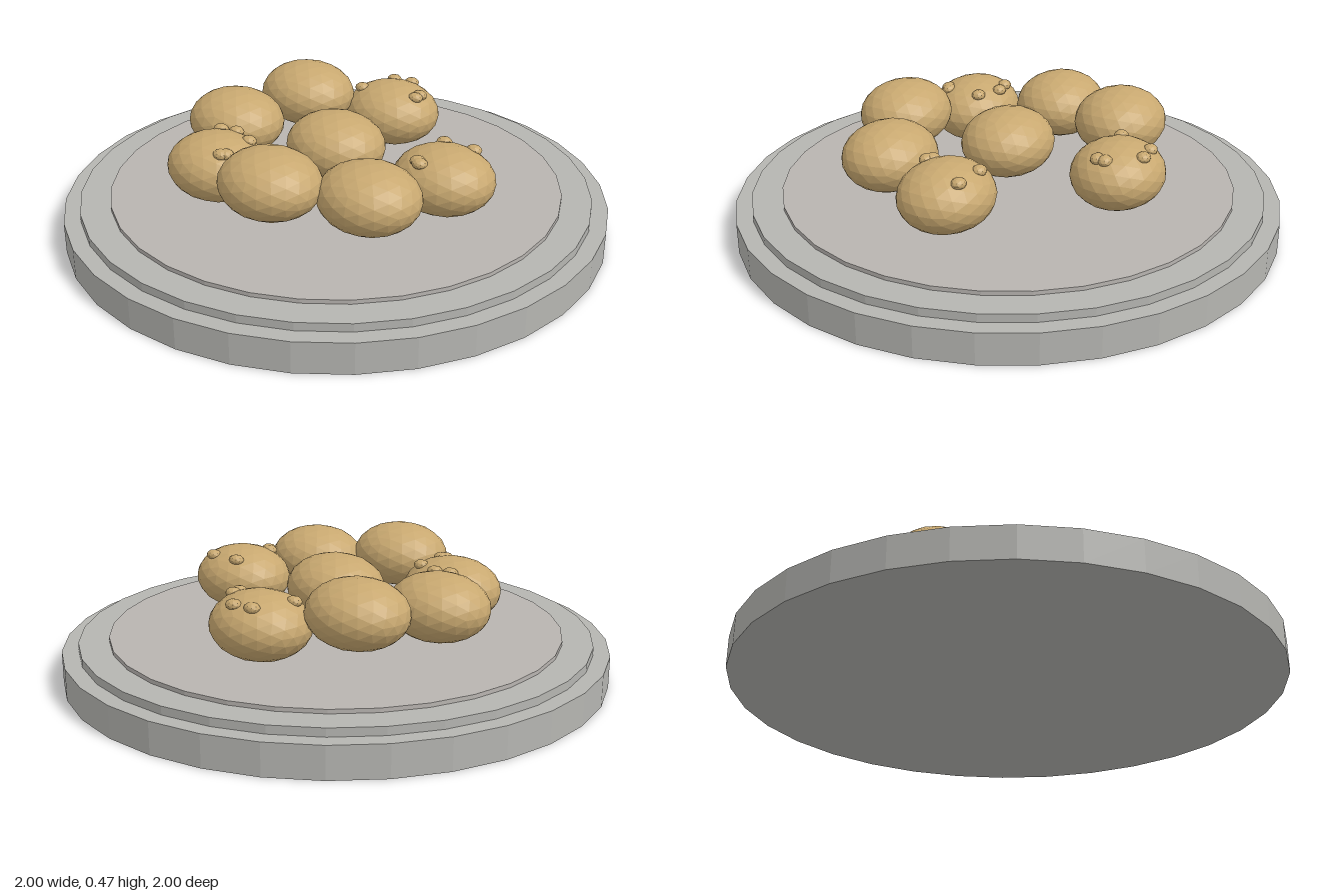
import * as THREE from 'three';

const stone = new THREE.MeshStandardMaterial({ name: 'stoneGrey', color: 0xb5b5b1, flatShading: true });
const warmStone = new THREE.MeshStandardMaterial({ name: 'warmGrey', color: 0xb8b4b0, flatShading: true });
const dough = new THREE.MeshStandardMaterial({ name: 'doughTan', color: 0xc8a870, flatShading: true });

function addMesh(parent, name, geometry, material, x, y, z) {
  const mesh = new THREE.Mesh(geometry, material);
  mesh.name = name;
  mesh.position.set(x, y, z);
  parent.add(mesh);
  return mesh;
}

export function createModel() {
  const model = new THREE.Group();
  model.name = 'plateOfBuns';

  // Stepped round plate: name, radius, bottom, top, material
  const tiers = [
    ['plateBase', 1, 0, 0.115, stone],
    ['plateRim', 0.94, 0.115, 0.145, stone],
    ['plateCentre', 0.83, 0.145, 0.16, warmStone],
  ];
  for (const [name, r, y0, y1, material] of tiers) {
    addMesh(model, name, new THREE.CylinderGeometry(r, r, y1 - y0, 32), material, 0, (y0 + y1) / 2, 0);
  }

  // Flattened buns and their small bumps
  const bunShape = new THREE.IcosahedronGeometry(1, 3).scale(0.187, 0.1225, 0.168);
  const bumpShape = new THREE.IcosahedronGeometry(1, 1).scale(0.03, 0.02, 0.026);

  // Bump offsets (x, z) from the centre of each bumpy bun
  const bumps = {
    0: [[-0.05, -0.1], [0.07, -0.09], [-0.06, 0.09], [-0.045, 0.105]],
    3: [[-0.05, -0.1], [0.01, -0.11], [0.095, -0.065], [0.09, 0.07], [0.075, 0.08]],
    6: [[-0.045, -0.1], [0.03, -0.105], [-0.113, 0.04], [0.118, 0], [0.115, 0.03]],
  };

  // Seven buns around a ring with one gap, then one in the middle
  for (let i = 0; i < 8; i++) {
    const angle = (i * Math.PI) / 4;
    const radius = i < 7 ? 0.44 : 0;
    const bun = new THREE.Group();
    bun.name = `bun${i + 1}`;
    bun.position.set(radius * Math.cos(angle), 0.28 + 0.0315 * (i % 3), radius * Math.sin(angle));
    addMesh(bun, 'bunBody', bunShape, dough, 0, 0, 0);
    for (const [x, z] of bumps[i] ?? []) addMesh(bun, 'bunBump', bumpShape, dough, x, 0.092, z);
    model.add(bun);
  }
  return model;
}
